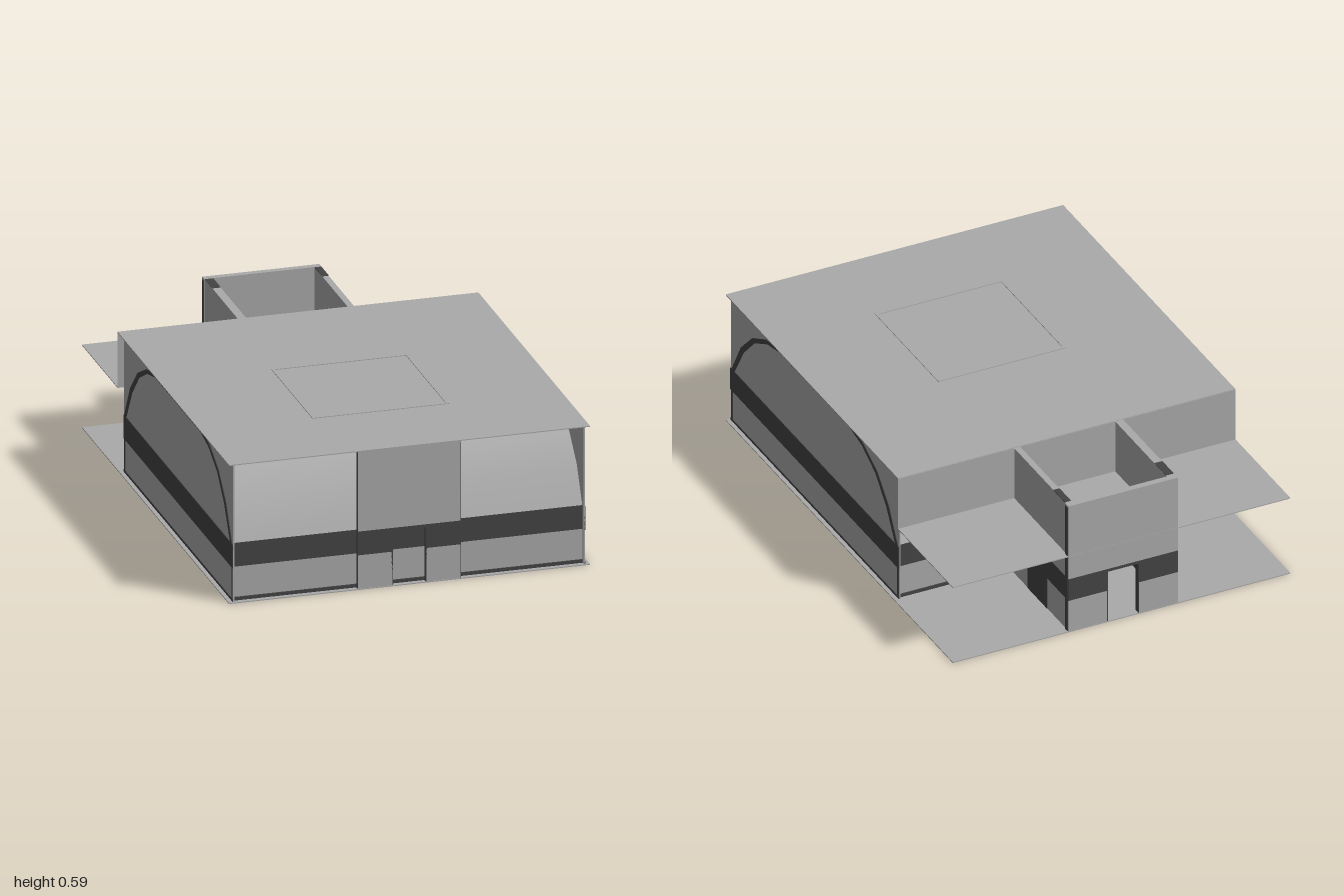
import * as THREE from 'three';

const grey = new THREE.MeshStandardMaterial({ color: 0xaaaaaa, side: THREE.DoubleSide });
grey.name = 'light grey';
const dark = new THREE.MeshStandardMaterial({ color: 0x444444, side: THREE.DoubleSide });
dark.name = 'dark grey';

export function createModel() {
  const root = new THREE.Group();
  root.name = 'hall';

  // Box given by its limits on each axis
  function block(name, mat, [x0, x1], [y0, y1], [z0, z1], parent = root) {
    const mesh = new THREE.Mesh(new THREE.BoxGeometry(x1 - x0, y1 - y0, z1 - z0), mat);
    mesh.position.set((x0 + x1) / 2, (y0 + y1) / 2, (z0 + z1) / 2);
    mesh.name = name;
    parent.add(mesh);
    return mesh;
  }

  // Sheet swept across x along a [z, y] profile, smooth along the curve
  function sheet(name, mat, profile, halfWidth) {
    const pos = [], index = [];
    profile.forEach(([z, y], i) => {
      pos.push(-halfWidth, y, z, halfWidth, y, z);
      if (i) {
        const a = 2 * i - 2;
        index.push(a, a + 1, a + 3, a, a + 3, a + 2);
      }
    });
    const g = new THREE.BufferGeometry();
    g.setAttribute('position', new THREE.Float32BufferAttribute(pos, 3));
    g.setIndex(index);
    g.computeVertexNormals();
    const mesh = new THREE.Mesh(g, mat);
    mesh.name = name;
    root.add(mesh);
  }

  // Thin rectangular outline lying flat
  function frame(name, mat, half, zc, y0, y1, t) {
    const group = new THREE.Group();
    group.name = name;
    for (const s of [-1, 1]) {
      const x = s * half, z = zc + s * half;
      block(name + 'Side', mat, [x - t, x + t], [y0, y1], [zc - half, zc + half], group);
      block(name + 'End', mat, [-half - t, half + t], [y0, y1], [z - t, z + t], group);
    }
    root.add(group);
  }

  const mid = 0.25, band = [0.145, 0.245];
  const mirror = ([z, y]) => [2 * mid - z, y];

  // Floor, roof and the stepped rear canopy
  block('floor', grey, [-0.74, 0.74], [0, 0.004], [-1, 1]);
  block('roof', grey, [-0.74, 0.74], [0.581, 0.585], [-0.517, 1]);
  block('rearUpperWall', grey, [-0.74, 0.74], [0.35, 0.583], [-0.519, -0.515]);
  block('rearCanopy', grey, [-0.74, 0.74], [0.348, 0.352], [-1, -0.517]);
  frame('roofHatch', grey, 0.275, 0.33, 0.584, 0.588, 0.006);
  frame('floorHatch', grey, 0.275, 0.33, 0.0, 0.006, 0.006);

  // Barrel walls: upright base, dark band and curved shoulder, front and rear
  const curve = [[0.975, 0.245], [0.9, 0.39], [0.8, 0.49], [0.68, 0.55], [0.57, 0.572]];
  sheet('vault', grey, [...curve, ...curve.map(mirror).reverse()], 0.72);
  for (const end of ['front', 'rear']) {
    const turn = p => (end === 'front' ? p : [...p].reverse().map(mirror));
    sheet(end + 'BaseWall', grey, turn([[0.975, 0], [0.975, band[0]]]), 0.72);
    sheet(end + 'Band', dark, turn([[0.975, band[0]], [0.975, band[1]]]), 0.72);
    const z = end === 'front' ? 0.977 : -0.477;
    block(end + 'Skirting', dark, [-0.72, 0.72], [0.004, 0.018], [z - 0.003, z + 0.003]);
  }

  // Arched rim drawn on each side wall, as a thin ring between two polylines
  const outer = [[0.985, 0.24], ...curve.slice(1), ...curve.slice(1).map(mirror).reverse(), [-0.485, 0.24]];
  const inner = outer.map(([z, y]) => [mid + (z - mid) * 0.968, y > 0.3 ? y - 0.014 : y]);
  const rimShape = new THREE.Shape([...outer, ...inner.reverse()].map(([z, y]) => new THREE.Vector2(-z, y)));
  const rimGeo = new THREE.ExtrudeGeometry(rimShape, { depth: 0.004, bevelEnabled: false });
  rimGeo.rotateY(Math.PI / 2);

  // Flat side walls with band, rim and skirting
  for (const s of [-1, 1]) {
    const span = (a, b) => (s > 0 ? [a, b] : [-b, -a]);
    block('sideWall', grey, span(0.716, 0.721), [0, 0.583], [-0.49, 0.993]);
    block('sideBand', dark, span(0.72, 0.724), band, [-0.49, 0.993]);
    block('sideSkirting', dark, span(0.72, 0.723), [0.004, 0.014], [-0.49, 0.993]);
    for (const z of [0.98, -0.48])
      block('sideCornerLine', dark, span(0.72, 0.723), [0, band[0]], [z - 0.006, z + 0.006]);
    const rim = new THREE.Mesh(rimGeo, dark);
    rim.name = 'sideArchRim';
    rim.position.x = s > 0 ? 0.72 : -0.724;
    root.add(rim);
  }

  // Upright slab with a doorway, used at the front and on the rear porch
  function doorSlab(name, x0, x1, z) {
    const group = new THREE.Group();
    group.name = name;
    const c = (x0 + x1) / 2, door = 0.07;
    block('upperPanel', grey, [x0, x1], [band[1], 0.583], z, group);
    block('doorLintel', dark, [c - door, c + door], [0.232, band[1]], z, group);
    for (const [a, b] of [[x0, c - door], [c + door, x1]]) {
      block('doorSidePanel', grey, [a, b], [0, band[0]], z, group);
      block('doorSideBand', dark, [a, b], band, z, group);
    }
    for (const x of [c - door, c + door])
      block('doorJamb', dark, [x - 0.003, x + 0.003], [0, 0.235], z, group);
    for (const x of [x0, x1])
      block('slabEdge', dark, [x - 0.002, x + 0.002], [0, 0.575], [z[0] + 0.003, z[1] - 0.003], group);
    root.add(group);
  }
  doorSlab('frontPortal', -0.21, 0.21, [0.98, 0.998]);
  doorSlab('rearPorchWall', -0.248, 0.233, [-0.999, -0.972]);

  // Porch side walls, open at the top
  for (const [x0, x1] of [[-0.246, -0.212], [0.205, 0.231]]) {
    block('porchSideWall', grey, [x0, x1], [0, 0.583], [-0.972, -0.512]);
    block('porchSideBand', dark, [x0 - 0.002, x1 + 0.002], band, [-0.972, -0.512]);
    block('porchSidePier', dark, [x0 - 0.002, x1 + 0.002], [0.004, band[0]], [-0.81, -0.64]);
    block('porchWallCap', dark, [x0, x1], [0.582, 0.585], [-0.965, -0.865]);
  }
  return root;
}
